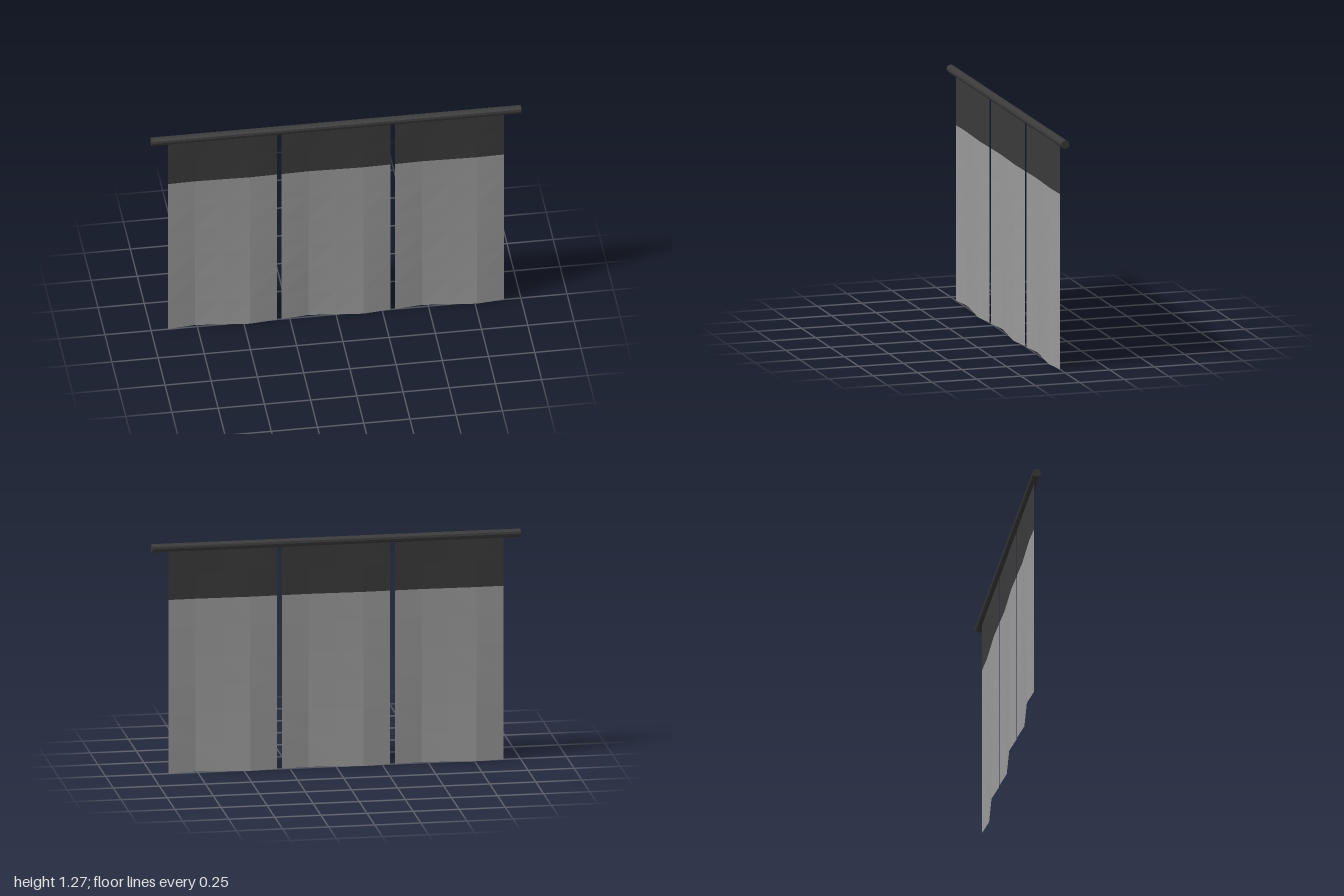
import * as THREE from 'three';

const ROD_Y = 1.25, ROD_RADIUS = 0.023, BAND_Y = 0.96;
const PANEL_WIDTH = 0.587, PANEL_STEP = 0.614, WAVE = 0.0162;

const dark = new THREE.MeshStandardMaterial({ color: 0x3a3a3a, flatShading: true });
dark.name = 'charcoal rod';
const darkCloth = new THREE.MeshStandardMaterial({ color: 0x3a3a3a, flatShading: true, side: THREE.DoubleSide });
darkCloth.name = 'charcoal cloth';
const greyCloth = new THREE.MeshStandardMaterial({ color: 0x999999, flatShading: true, side: THREE.DoubleSide });
greyCloth.name = 'grey cloth';

// Cloth strip between two heights; its ripple grows from the rod to the hem
function clothStrip(name, bottom, top, rows, material) {
  const geometry = new THREE.PlaneGeometry(PANEL_WIDTH, top - bottom, 4, rows);
  geometry.translate(0, (top + bottom) / 2, 0);
  const p = geometry.attributes.position;
  for (let i = 0; i < p.count; i++) {
    const t = p.getX(i) / PANEL_WIDTH + 0.5;
    p.setZ(i, -WAVE * (1 - p.getY(i) / ROD_Y) * Math.sin(t * Math.PI * 2));
  }
  geometry.computeVertexNormals();
  const mesh = new THREE.Mesh(geometry, material);
  mesh.name = name;
  return mesh;
}

export function createModel() {
  const model = new THREE.Group();
  model.name = 'hangingCurtain';

  // Horizontal rod
  const rodGeometry = new THREE.CylinderGeometry(ROD_RADIUS, ROD_RADIUS, 2, 12);
  rodGeometry.rotateZ(Math.PI / 2);
  const rod = new THREE.Mesh(rodGeometry, dark);
  rod.name = 'rod';
  rod.position.y = ROD_Y;
  model.add(rod);

  // Three cloth panels, each with a dark top band
  ['rightPanel', 'middlePanel', 'leftPanel'].forEach((name, i) => {
    const panel = new THREE.Group();
    panel.name = name;
    panel.position.x = (i - 1) * PANEL_STEP;
    panel.add(
      clothStrip('topBand', BAND_Y, ROD_Y, 2, darkCloth),
      clothStrip('lowerCloth', 0, BAND_Y, 6, greyCloth)
    );
    model.add(panel);
  });

  return model;
}
